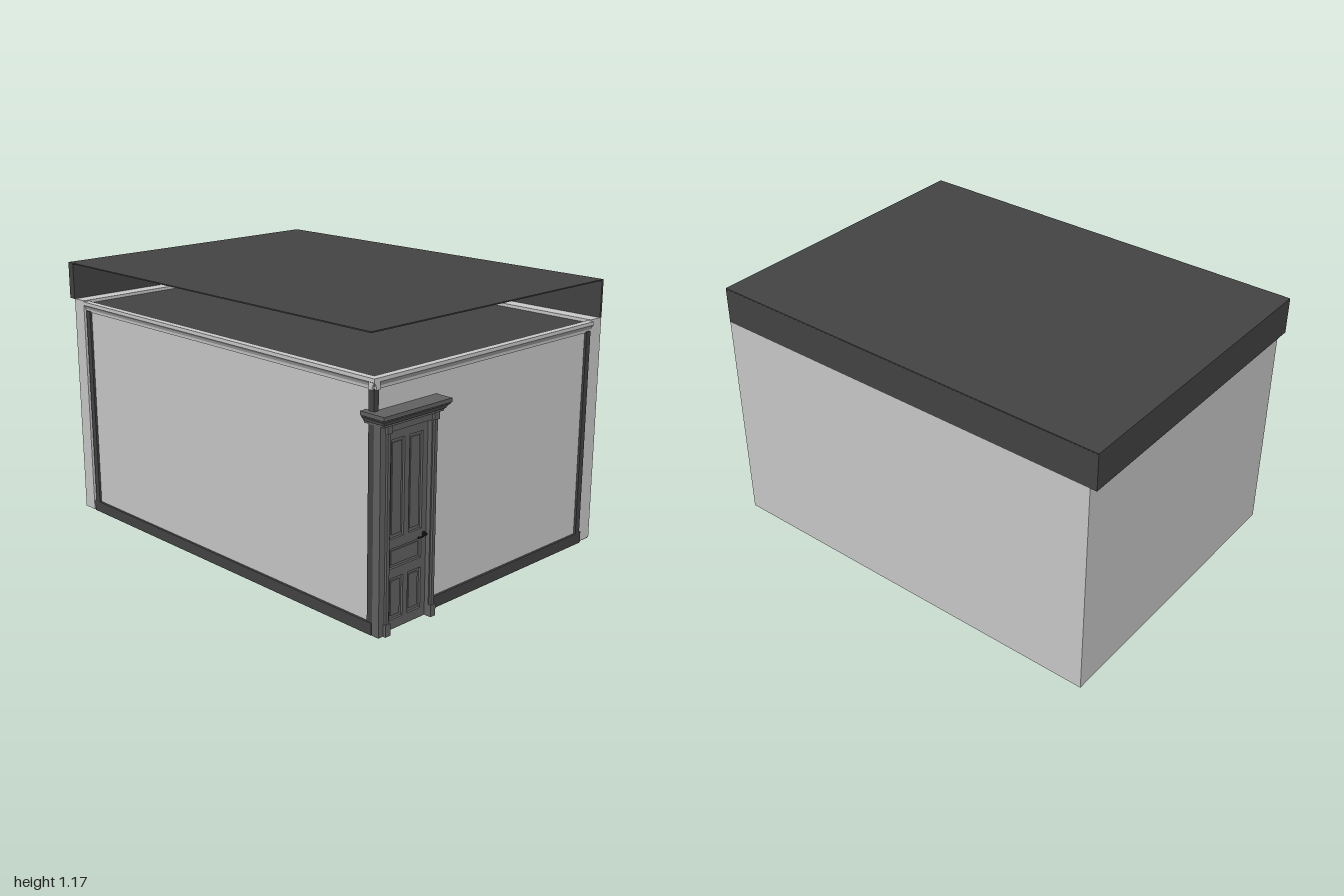
import * as THREE from 'three';

const paint = (color) => new THREE.MeshStandardMaterial({ color, flatShading: true });

export function createModel() {
  const root = new THREE.Group();
  const light = paint(0xcccccc), dark = paint(0x444444), wood = paint(0x636363), metal = paint(0x222222);

  const add = (parent, name, geometry, material) => {
    const mesh = new THREE.Mesh(geometry, material);
    mesh.name = name;
    parent.add(mesh);
    return mesh;
  };
  // box given by its limits on each axis
  const box = (parent, name, material, [x0, x1], [y0, y1], [z0, z1]) => {
    const g = new THREE.BoxGeometry(x1 - x0, y1 - y0, z1 - z0);
    g.translate((x0 + x1) / 2, (y0 + y1) / 2, (z0 + z1) / 2);
    return add(parent, name, g, material);
  };
  const group = (name) => {
    const g = new THREE.Group();
    g.name = name;
    root.add(g);
    return g;
  };

  // Room shell
  const shell = group('roomShell');
  box(shell, 'floor', dark, [-0.68, 0.7], [0, 0.006], [-0.965, 0.92]);
  box(shell, 'frontWall', light, [-0.68, 0.63], [0.004, 1], [0.9, 0.92]);
  box(shell, 'rightWall', light, [-0.68, -0.66], [0.004, 1], [-0.9, 0.92]);
  box(shell, 'leftWall', light, [0.63, 0.705], [0.004, 1.01], [-0.97, 0.922]);
  box(shell, 'backWall', light, [-0.695, 0.705], [0.004, 1.01], [-0.97, -0.9]);
  box(shell, 'ceiling', dark, [-0.67, 0.64], [0.985, 0.996], [-0.91, 0.91]);

  // Flat roof with a fascia on two sides only
  const roof = group('roof');
  box(roof, 'roofSheet', dark, [-0.7, 0.705], [1.17, 1.175], [-1, 0.922]);
  box(roof, 'backFascia', dark, [-0.7, 0.705], [1.01, 1.172], [-1, -0.965]);
  box(roof, 'leftFascia', dark, [0.695, 0.706], [1.01, 1.172], [-1, 0.922]);

  // Ceiling cornice: one moulding profile run along two walls
  const trims = group('wallTrims');
  const profile = new THREE.Shape([[-0.015, 0.96], [0.004, 0.96], [0.005, 0.972], [0.01, 0.982],
    [0.016, 0.99], [0.016, 1.005], [-0.015, 1.005]].map(([x, y]) => new THREE.Vector2(x, y)));
  const run = (name, length, x, z, turn) => {
    const g = new THREE.ExtrudeGeometry(profile, { depth: length, bevelEnabled: false });
    const m = add(trims, name, g, light);
    m.position.set(x, 0, z);
    m.rotation.y = turn;
  };
  run('frontCornice', 1.325, 0.63, 0.92, -Math.PI / 2);
  run('sideCornice', 1.835, -0.68, 0.936, Math.PI);

  // Skirting boards
  box(trims, 'frontSkirting', dark, [-0.37, 0.63], [0, 0.05], [0.915, 0.93]);
  box(trims, 'sideSkirting', dark, [-0.69, -0.675], [0, 0.05], [-0.9, 0.925]);

  // Corner strips
  box(trims, 'frontCornerStrip', dark, [0.592, 0.62], [0.05, 0.965], [0.915, 0.93]);
  box(trims, 'doorCornerStrip', dark, [-0.688, -0.664], [0, 0.965], [0.9, 0.928]);
  box(trims, 'backCornerStrip', dark, [-0.69, -0.675], [0.05, 0.965], [-0.89, -0.862]);

  // Door leaf with stiles, rails and raised panels
  const door = group('door');
  box(door, 'leaf', wood, [-0.64, -0.41], [0, 0.8], [0.915, 0.932]);
  const face = [0.93, 0.942];
  for (const x of [-0.64, -0.438]) box(door, 'stile', wood, [x, x + 0.03], [0, 0.8], face);
  for (const [y0, y1] of [[0, 0.04], [0.21, 0.25], [0.33, 0.37], [0.76, 0.8]])
    box(door, 'rail', wood, [-0.612, -0.436], [y0, y1], face);
  for (const [y0, y1] of [[0.04, 0.21], [0.37, 0.76]]) {
    box(door, 'muntin', wood, [-0.537, -0.511], [y0, y1], face);
    for (const x of [-0.598, -0.499])
      box(door, 'panel', wood, [x, x + 0.049], [y0 + 0.014, y1 - 0.014], [0.93, 0.937]);
  }
  box(door, 'middlePanel', wood, [-0.598, -0.45], [0.262, 0.318], [0.93, 0.937]);

  // Lever handle
  const lever = new THREE.CatmullRomCurve3([[-0.425, 0.345, 0.94], [-0.425, 0.345, 0.958],
    [-0.44, 0.348, 0.962], [-0.462, 0.344, 0.962], [-0.482, 0.347, 0.96]].map((p) => new THREE.Vector3(...p)));
  add(door, 'handleLever', new THREE.TubeGeometry(lever, 16, 0.004, 8), metal);
  const rose = add(door, 'handleRose', new THREE.CylinderGeometry(0.009, 0.009, 0.005, 16), metal);
  rose.rotation.x = Math.PI / 2;
  rose.position.set(-0.425, 0.345, 0.944);

  // Door surround: stepped pilasters on plinths, and a lintel
  const surround = group('doorSurround');
  for (const [x0, x1] of [[-0.688, -0.638], [-0.412, -0.385]]) {
    box(surround, 'pilaster', wood, [x0, x1], [0, 0.83], [0.915, 0.962]);
    box(surround, 'pilasterFace', wood, [x1 - 0.021, x1 - 0.006], [0.05, 0.8], [0.96, 0.972]);
    box(surround, 'plinth', wood, [x1 - 0.026, x1 + 0.001], [0, 0.05], [0.92, 0.975]);
    box(surround, 'capital', wood, [x1 - 0.026, x1 + 0.001], [0.8, 0.83], [0.92, 0.975]);
  }
  box(surround, 'lintel', wood, [-0.64, -0.41], [0.8, 0.83], [0.915, 0.962]);

  // Door hood: box layers pushed outward by a moulding profile, [height, overhang]
  const layers = [[0.83, 0], [0.837, 0], [0.839, 0.004], [0.848, 0.008], [0.858, 0.017],
    [0.861, 0.017], [0.863, 0.021], [0.879, 0.021]];
  const hood = new THREE.BoxGeometry(2, 1, 1, 1, layers.length - 1, 1);
  const p = hood.attributes.position;
  for (let i = 0; i < p.count; i++) {
    const [y, out] = layers[Math.round((p.getY(i) + 0.5) * (layers.length - 1))];
    p.setXYZ(i, -0.5275 + p.getX(i) * (0.162 + out), y, p.getZ(i) > 0 ? 0.979 + out : 0.88);
  }
  hood.computeVertexNormals();
  add(surround, 'doorHood', hood, wood);

  return root;
}
